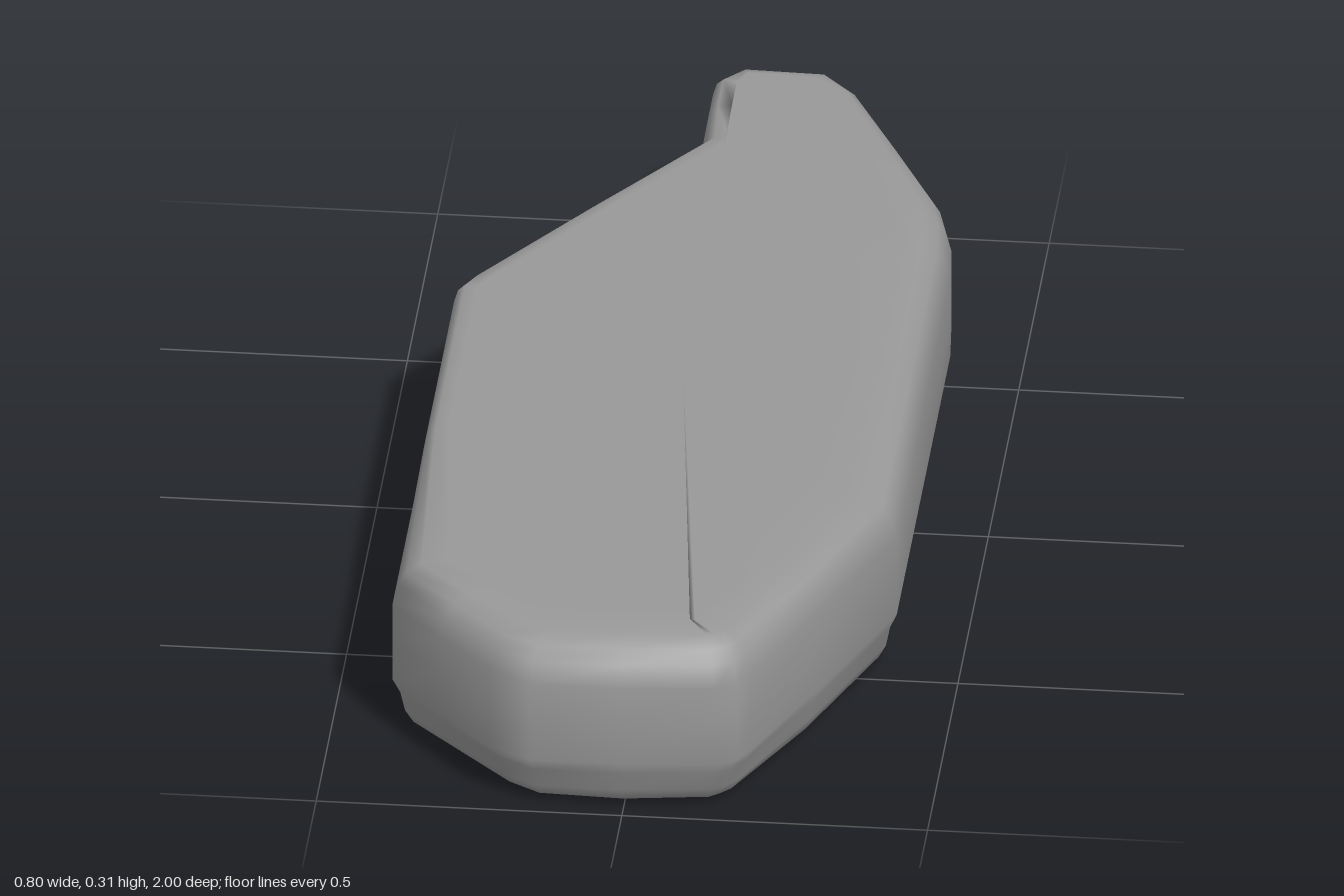
import * as THREE from 'three';

// Plan outline: [x, z, top edge rounding, bottom edge rounding]
const OUTLINE = [
  [-0.05, -0.96, 0.5, 0.6], [0, -1, 0.3, 0.9], [0.14, -1, 0.4, 0.9], [0.2, -0.95, 0.7, 1.1],
  [0.29, -0.77, 0.9, 1.3], [0.37, -0.6, 1, 1.3], [0.387, -0.53, 1, 1.2], [0.395, -0.43, 1, 1],
  [0.395, 0, 1, 1], [0.395, 0.45, 1.1, 1], [0.295, 0.71, 1, 0.9], [0.205, 0.93, 1.2, 1.3],
  [0.185, 0.965, 1.3, 1.5], [0.15, 0.985, 1.4, 1.4], [0, 1, 1.5, 1.2], [-0.15, 1, 1.5, 1.4],
  [-0.22, 0.96, 1.4, 1.5], [-0.31, 0.86, 1.2, 1.4], [-0.4, 0.75, 1, 1.1], [-0.4, 0.27, 0.5, 0.6],
  [-0.4, -0.22, 0.5, 0.6], [-0.38, -0.26, 0.5, 0.6], [-0.215, -0.51, 0.5, 0.6],
  [-0.05, -0.76, 0.6, 0.6], [-0.05, -0.86, 0.5, 0.5],
];

// Rim section from the underside to the top: [height, inset]
const LEVELS = [
  [0, 0.1], [0, 0.055], [0.012, 0.03], [0.035, 0.018], [0.07, 0.011], [0.095, 0],
  [0.17, 0], [0.235, 0], [0.27, 0.009], [0.291, 0.022], [0.303, 0.045], [0.305, 0.09],
];

// Inward mitre direction at each outline corner
function mitre(i) {
  const n = OUTLINE.length;
  const at = (k) => new THREE.Vector2(OUTLINE[(k + n) % n][0], OUTLINE[(k + n) % n][1]);
  const normal = (a, b) => {
    const d = b.clone().sub(a).normalize();
    return new THREE.Vector2(-d.y, d.x);
  };
  const n0 = normal(at(i - 1), at(i));
  const n1 = normal(at(i), at(i + 1));
  const m = n0.clone().add(n1).normalize();
  return m.multiplyScalar(1 / Math.max(0.6, m.dot(n0)));
}

function slabGeometry() {
  const n = OUTLINE.length;
  const positions = [];
  const index = [];
  const inward = OUTLINE.map((_, i) => mitre(i));

  // Stacked rings of the outline, drawn in towards both faces
  LEVELS.forEach(([y, inset], k) => {
    OUTLINE.forEach(([x, z, top, bottom], i) => {
      const d = inset * (k < LEVELS.length / 2 ? bottom : top);
      positions.push(x + inward[i].x * d, y, z + inward[i].y * d);
    });
  });
  for (let k = 0; k < LEVELS.length - 1; k++) {
    for (let i = 0; i < n; i++) {
      const j = (i + 1) % n;
      const a = k * n + i, b = k * n + j;
      index.push(a, a + n, b, b, a + n, b + n);
    }
  }

  // Flat faces fanned from the middle
  const low = positions.length / 3;
  const high = low + 1;
  positions.push(0, 0, 0, 0, 0.305, 0);
  const last = (LEVELS.length - 1) * n;
  for (let i = 0; i < n; i++) {
    const j = (i + 1) % n;
    index.push(low, i, j, high, last + j, last + i);
  }

  const geometry = new THREE.BufferGeometry();
  geometry.setAttribute('position', new THREE.Float32BufferAttribute(positions, 3));
  geometry.setIndex(index);
  geometry.computeVertexNormals();
  return geometry;
}

export function createModel() {
  const group = new THREE.Group();
  group.name = 'stoneSlab';
  const slab = new THREE.Mesh(slabGeometry(), new THREE.MeshStandardMaterial({ color: 0x999999 }));
  slab.name = 'slabBody';
  group.add(slab);
  return group;
}
